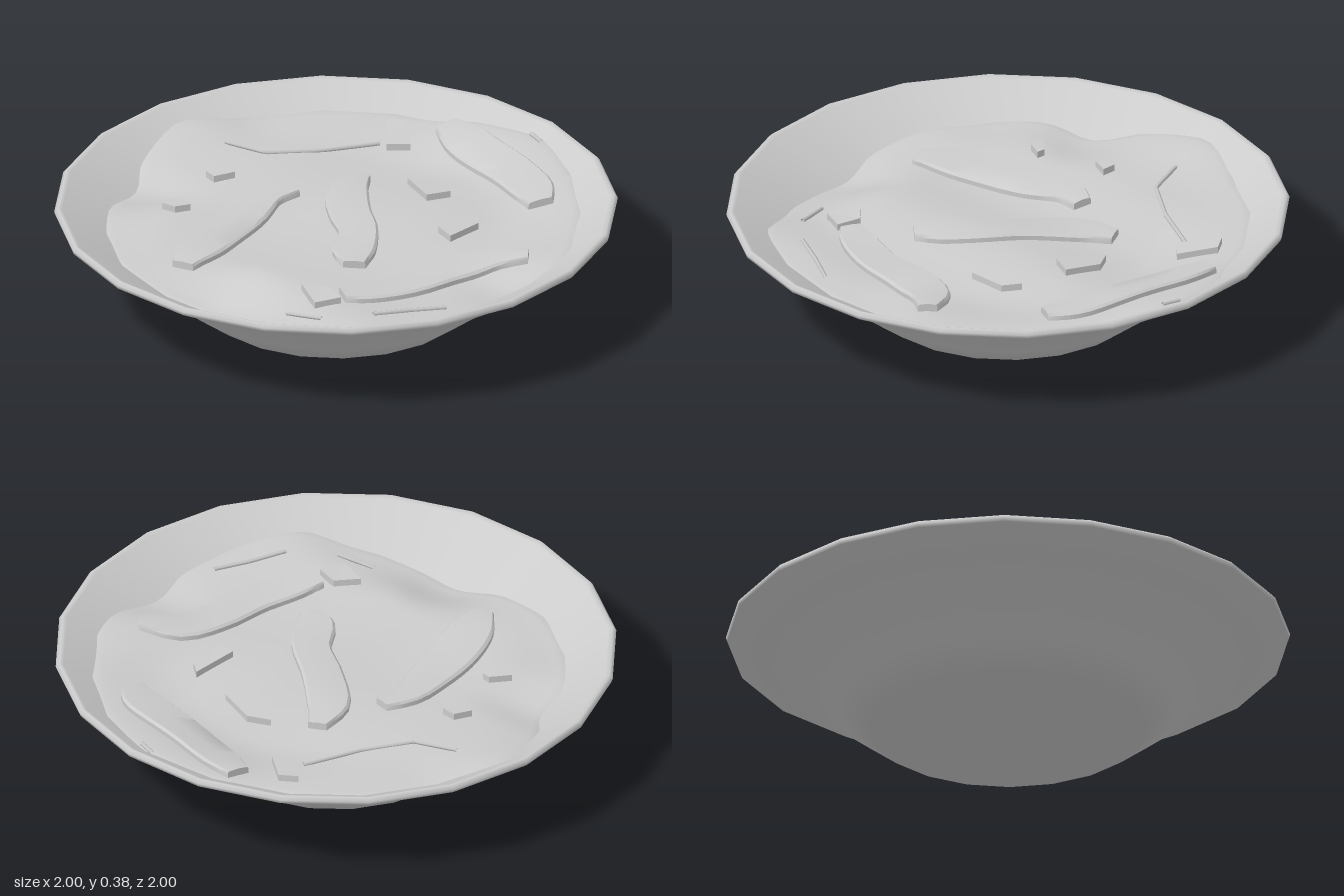
import * as THREE from 'three';
import { mergeVertices, toCreasedNormals } from 'three/addons/utils/BufferGeometryUtils.js';

const material = new THREE.MeshStandardMaterial({ color: 0xcccccc, side: THREE.DoubleSide });

// Radius of the filling's uneven shoreline, every 15 degrees from +x towards +z
const SHORE = [0.89, 0.87, 0.86, 0.86, 0.79, 0.82, 0.84, 0.86, 0.80, 0.76, 0.73, 0.78,
  0.81, 0.81, 0.82, 0.78, 0.86, 0.905, 0.86, 0.86, 0.86, 0.86, 0.90, 0.92];

function shoreRadius(angle) {
  const n = SHORE.length;
  const u = ((angle / (2 * Math.PI)) % 1 + 1) % 1 * n;
  const i = Math.floor(u), f = u - i;
  const [a, b, c, d] = [-1, 0, 1, 2].map(k => SHORE[(i + k + n) % n]);
  return b + 0.5 * f * (c - a + f * (2 * a - 5 * b + 4 * c - d + f * (3 * (b - c) + d - a)));
}

// Height of the inner wall of the bowl
const wallHeight = r => 0.214 + (r - 0.72) * 0.62;

// Wavy filling height that runs into the wall at the shoreline
function fillingHeight(x, z) {
  const r = Math.hypot(x, z), R = shoreRadius(Math.atan2(z, x));
  const middle = 0.28 + 0.012 * Math.sin(5 * x + 2 * z) * Math.cos(6 * z - 2 * x)
    + 0.007 * Math.sin(9 * z + 4 * x);
  return THREE.MathUtils.lerp(middle, wallHeight(R), THREE.MathUtils.smoothstep(r / R, 0.6, 1));
}

// Surface through rows of points of equal length
function gridGeometry(rows) {
  const w = rows[0].length, index = [];
  for (let i = 0; i < rows.length - 1; i++) {
    for (let j = 0; j < w - 1; j++) {
      const a = i * w + j, b = a + w;
      index.push(a, a + 1, b, a + 1, b + 1, b);
    }
  }
  const geometry = new THREE.BufferGeometry();
  geometry.setAttribute('position', new THREE.Float32BufferAttribute(rows.flat(2), 3));
  geometry.setIndex(index);
  geometry.computeVertexNormals();
  return geometry;
}

function fillingGeometry() {
  const rows = [], rings = 28, sides = 96;
  for (let i = 0; i <= rings + 1; i++) {
    const t = i > rings ? 1.03 : i / rings;
    const row = [];
    for (let j = 0; j <= sides; j++) {
      const angle = (j % sides) / sides * Math.PI * 2, r = shoreRadius(angle) * t;
      const x = r * Math.cos(angle), z = r * Math.sin(angle);
      row.push([x, fillingHeight(x, z) - (i > rings ? 0.01 : 0), z]);
    }
    rows.push(row);
  }
  const geometry = mergeVertices(gridGeometry(rows));
  geometry.computeVertexNormals();
  return geometry;
}

// Long slice from spine points [x, z, half width], lying on the filling
function sliceGeometry(spine) {
  const curve = new THREE.CatmullRomCurve3(spine.map(([x, z, w]) => new THREE.Vector3(x, w, z)));
  const section = [[-1, -0.03], [-1, 0.017], [-0.88, 0.026], [0, 0.029], [0.88, 0.026], [1, 0.017], [1, -0.03]];
  const rows = [], steps = 16;
  for (let k = -1; k <= steps + 1; k++) {
    const t = THREE.MathUtils.clamp(k / steps, 0, 1);
    const p = curve.getPoint(t), d = curve.getTangent(t);
    const l = Math.hypot(d.x, d.z), sx = -d.z / l, sz = d.x / l;
    const cap = k < 0 || k > steps ? 0 : 1;
    rows.push(section.map(([s, y]) => {
      const x = p.x + sx * s * p.y * cap, z = p.z + sz * s * p.y * cap;
      return [x, fillingHeight(x, z) + y * cap, z];
    }));
  }
  return toCreasedNormals(gridGeometry(rows), 0.6);
}

// Small flat-sided chunk from its outline in x and z
function chunkGeometry(outline) {
  const shape = new THREE.Shape(outline.map(([x, z]) => new THREE.Vector2(x, -z)));
  const geometry = new THREE.ExtrudeGeometry(shape, { depth: 0.05, bevelEnabled: false });
  geometry.rotateX(-Math.PI / 2);
  const p = geometry.attributes.position;
  for (let i = 0; i < p.count; i++) {
    p.setY(i, p.getY(i) - 0.025 + fillingHeight(p.getX(i), p.getZ(i)));
  }
  geometry.computeVertexNormals();
  return geometry;
}

// Thin strand following the filling
function strandGeometry(points) {
  const path = new THREE.CurvePath();
  const v = points.map(([x, z]) => new THREE.Vector3(x, fillingHeight(x, z) + 0.005, z));
  for (let i = 0; i < v.length - 1; i++) path.add(new THREE.LineCurve3(v[i], v[i + 1]));
  return new THREE.TubeGeometry(path, 24, 0.008, 5, false);
}

export function createModel() {
  const group = new THREE.Group();
  const add = (name, geometry) => {
    const mesh = new THREE.Mesh(geometry, material);
    mesh.name = name;
    group.add(mesh);
  };

  // Twenty-sided bowl with a thin rim
  const profile = [[0, 0], [0.49, 0], [0.6, 0.085], [0.72, 0.18], [0.86, 0.27], [0.995, 0.347],
    [1, 0.362], [0.988, 0.375], [0.972, 0.368], [0.86, 0.3], [0.72, 0.21], [0.48, 0.04], [0, 0.04]];
  add('bowl', new THREE.LatheGeometry(profile.map(p => new THREE.Vector2(...p)), 20));

  add('filling', fillingGeometry());

  // Curved slices
  [
    [[-0.62, 0.1, 0.04], [-0.53, 0.01, 0.085], [-0.41, -0.1, 0.095], [-0.27, -0.2, 0.085], [-0.15, -0.285, 0.06], [-0.04, -0.3, 0.035]],
    [[0.22, -0.32, 0.035], [0.13, -0.22, 0.075], [0.07, -0.04, 0.075], [0.04, 0.12, 0.07], [-0.03, 0.25, 0.075], [-0.06, 0.335, 0.04]],
    [[0.62, -0.52, 0.045], [0.64, -0.41, 0.075], [0.67, -0.25, 0.08], [0.71, -0.08, 0.08], [0.73, 0.05, 0.075], [0.72, 0.15, 0.045]],
    [[-0.18, 0.53, 0.04], [-0.09, 0.535, 0.065], [0.08, 0.525, 0.075], [0.25, 0.475, 0.08], [0.4, 0.46, 0.075], [0.53, 0.52, 0.035]],
  ].forEach((spine, i) => add(`slice${i + 1}`, sliceGeometry(spine)));

  // Small chunks
  [
    [[-0.3, -0.5], [-0.23, -0.5], [-0.21, -0.45], [-0.29, -0.45]],
    [[-0.53, -0.34], [-0.45, -0.32], [-0.44, -0.29], [-0.5, -0.29]],
    [[0.44, -0.64], [0.5, -0.6], [0.46, -0.46], [0.38, -0.49]],
    [[0.36, -0.23], [0.43, -0.18], [0.45, -0.04], [0.36, -0.04]],
    [[0.31, 0.2], [0.48, 0.14], [0.46, 0.21], [0.33, 0.27]],
    [[-0.3, 0.44], [-0.21, 0.48], [-0.2, 0.57], [-0.3, 0.57]],
  ].forEach((outline, i) => add(`chunk${i + 1}`, chunkGeometry(outline)));

  // Thin strands
  [
    [[-0.15, -0.7], [-0.04, -0.58], [0.15, -0.54], [0.37, -0.53]],
    [[-0.4, 0.55], [-0.31, 0.66]],
    [[-0.14, 0.73], [0, 0.735], [0.13, 0.75]],
    [[0.86, -0.31], [0.87, -0.24]],
  ].forEach((points, i) => add(`strand${i + 1}`, strandGeometry(points)));

  return group;
}
